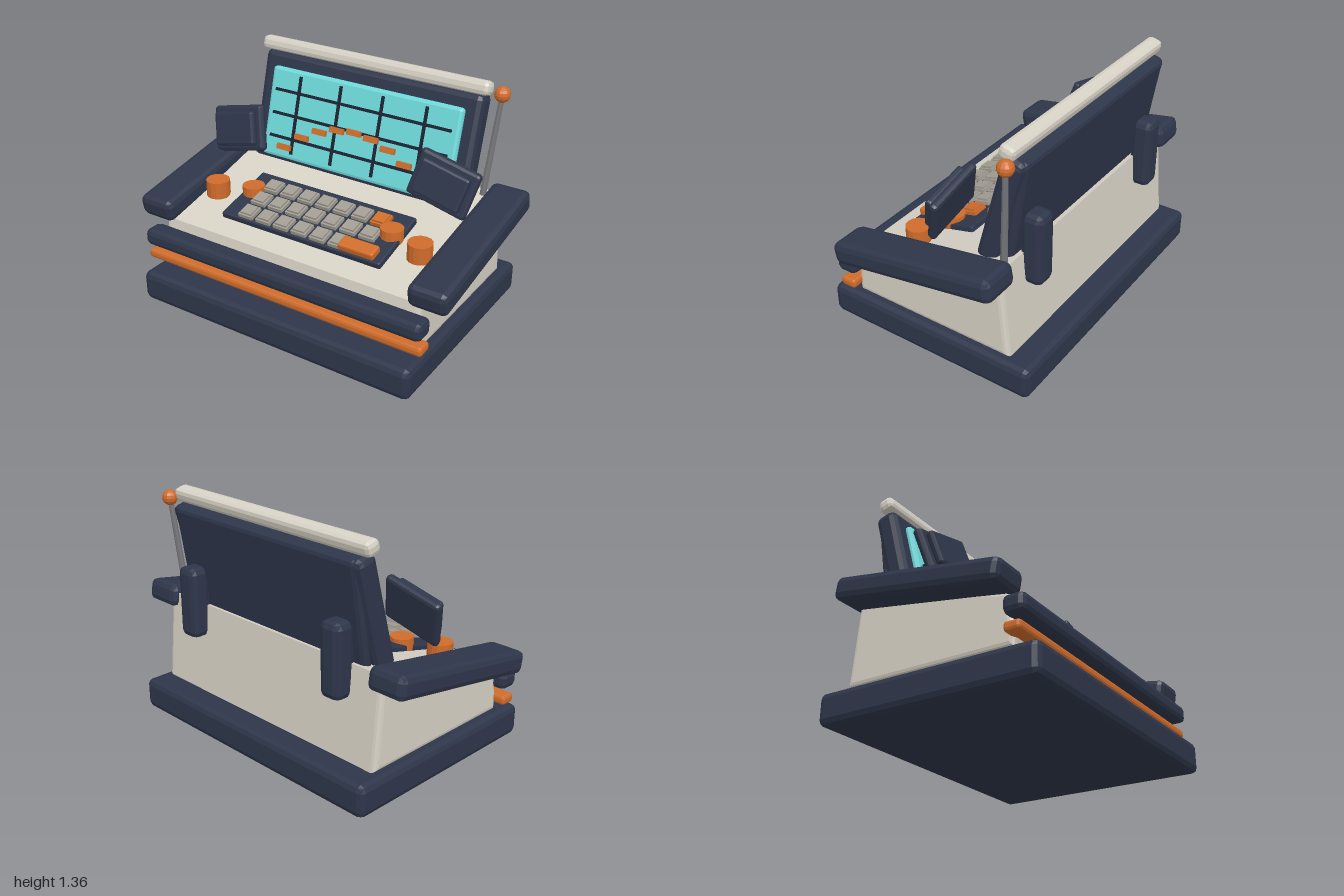
import * as THREE from 'three';
import { RoundedBoxGeometry } from 'three/addons/geometries/RoundedBoxGeometry.js';

const paint = (name, color) => {
  const m = new THREE.MeshStandardMaterial({ color, flatShading: true });
  m.name = name;
  return m;
};

export function createModel() {
  const navy = paint('navy', 0x2e364a);
  const cream = paint('cream', 0xd6d1c5);
  const orange = paint('orange', 0xd06c2b);
  const cyan = paint('cyan', 0x6fdadb);
  const dark = paint('dark line', 0x1b2231);
  const keyGrey = paint('key grey', 0xa29d92);
  const metal = paint('metal grey', 0x77787b);

  const root = new THREE.Group();
  root.name = 'console';

  const add = (parent, name, geo, mat, x = 0, y = 0, z = 0) => {
    const m = new THREE.Mesh(geo, mat);
    m.name = name;
    m.position.set(x, y, z);
    parent.add(m);
    return m;
  };
  // Box with chamfered edges
  const chamfer = (w, h, d, b) => new RoundedBoxGeometry(w, h, d, 1, b);
  const subgroup = (name, x, y, z, rx = 0) => {
    const g = new THREE.Group();
    g.name = name;
    g.position.set(x, y, z);
    g.rotation.x = rx;
    root.add(g);
    return g;
  };

  // Plinth
  add(root, 'base', chamfer(1.77, 0.18, 1.3, 0.035), navy, 0, 0.09, 0);

  // Wedge body: side profile (z, y) extruded across x
  const profile = new THREE.Shape([
    [0.49, 0.185], [0.497, 0.25], [0.462, 0.477], [-0.457, 0.705], [-0.507, 0.185],
  ].map(([z, y]) => new THREE.Vector2(z, y)));
  const bodyGeo = new THREE.ExtrudeGeometry(profile, {
    depth: 1.62, bevelEnabled: true, bevelSize: 0.03, bevelThickness: 0.03,
    bevelOffset: -0.03, bevelSegments: 3,
  });
  bodyGeo.translate(0, 0, -0.81).rotateY(-Math.PI / 2);
  add(root, 'body', bodyGeo, cream);

  // Front bumper bars
  add(root, 'frontBar', chamfer(1.81, 0.1, 0.125, 0.03), navy, 0, 0.377, 0.523);
  add(root, 'frontTrim', chamfer(1.81, 0.052, 0.095, 0.016), orange, 0, 0.26, 0.518);

  // Armrests and rear posts
  for (const s of [1, -1]) {
    const arm = add(root, 'armrest', chamfer(0.23, 0.13, 1.02, 0.035), navy, s * 0.885, 0.607, 0);
    arm.rotation.x = 0.17;
    add(root, 'rearPost', chamfer(0.135, 0.415, 0.13, 0.035), navy, s * 0.565, 0.723, -0.495);
  }

  // Keyboard on the sloping deck
  const deck = subgroup('keyboard', 0, 0.591, 0, 0.242);
  add(deck, 'keyPanel', chamfer(1.05, 0.05, 0.41, 0.01), navy, 0, 0.008, 0.139);
  for (let row = 0; row < 3; row++) {
    for (let col = 0; col < 7; col++) {
      if (row === 2 && col === 6) continue;
      const mat = row === 0 && col === 6 ? orange : keyGrey;
      const x = (col - 3) * 0.121, z = 0.04 + row * 0.122;
      add(deck, 'key', new THREE.BoxGeometry(0.095, 0.025, 0.095), mat, x, 0.042, z);
      add(deck, 'keyCap', new THREE.BoxGeometry(0.075, 0.012, 0.075), mat, x, 0.06, z);
    }
  }
  add(deck, 'wideKey', chamfer(0.22, 0.045, 0.085, 0.01), orange, 0.37, 0.05, 0.292);

  // Control knobs
  for (const s of [1, -1]) {
    add(root, 'outerKnob', new THREE.CylinderGeometry(0.07, 0.07, 0.1, 14), orange, s * 0.675, 0.596, 0.18);
    add(root, 'innerKnob', new THREE.CylinderGeometry(0.066, 0.066, 0.09, 14), orange, s * 0.465, 0.592, 0.11);
  }

  // Tilted display; local z = 0.065 is the front face of its housing
  const screen = subgroup('display', 0, 0.95, -0.364, -0.265);
  add(screen, 'housing', chamfer(1.44, 0.66, 0.13, 0.035), navy);
  add(screen, 'topBar', chamfer(1.49, 0.08, 0.09, 0.026), cream, 0, 0.366, 0.035);
  add(screen, 'screenGlass', chamfer(1.26, 0.54, 0.05, 0.018), cyan, 0, -0.03, 0.071);
  for (const x of [-0.42, -0.14, 0.14, 0.42])
    add(screen, 'gridUpright', new THREE.BoxGeometry(0.016, 0.47, 0.02), dark, x, -0.027, 0.098);
  for (const y of [0.107, -0.033, -0.173])
    add(screen, 'gridCrossline', new THREE.BoxGeometry(1.17, 0.016, 0.02), dark, 0, y, 0.098);
  for (let n = -4; n <= 4; n++)
    add(screen, 'curveDash', new THREE.BoxGeometry(0.092, 0.032, 0.022), orange,
      n * 0.1155, -0.034 - 0.19 * (n / 4) ** 2, 0.122);
  const back = add(root, 'backCover', chamfer(1.38, 0.62, 0.06, 0.025), navy, 0, 0.95, -0.437);
  back.rotation.x = -0.155;
  add(root, 'curveBall', new THREE.SphereGeometry(0.045, 12, 8), orange, 0.485, 0.765, -0.187);

  // Angled side panels
  for (const s of [1, -1]) {
    const panel = subgroup('sidePanel', s * 0.675, 0.888, -0.055);
    panel.rotation.set(-0.26, 0, -s * 0.235, 'ZYX');
    add(panel, 'panelShell', chamfer(0.36, 0.27, 0.05, 0.02), navy);
    add(panel, 'panelFace', chamfer(0.29, 0.2, 0.045, 0.015), navy, 0, 0, 0.047);
  }

  // Antenna
  const foot = new THREE.Vector3(0.74, 0.66, -0.415);
  const tip = new THREE.Vector3(0.79, 1.28, -0.465);
  const dir = tip.clone().sub(foot);
  const rod = add(root, 'antennaRod', new THREE.CylinderGeometry(0.015, 0.02, dir.length(), 8), metal,
    ...foot.clone().lerp(tip, 0.5).toArray());
  rod.quaternion.setFromUnitVectors(new THREE.Vector3(0, 1, 0), dir.normalize());
  add(root, 'antennaBall', new THREE.SphereGeometry(0.045, 12, 8), orange, tip.x, tip.y, tip.z);

  return root;
}
